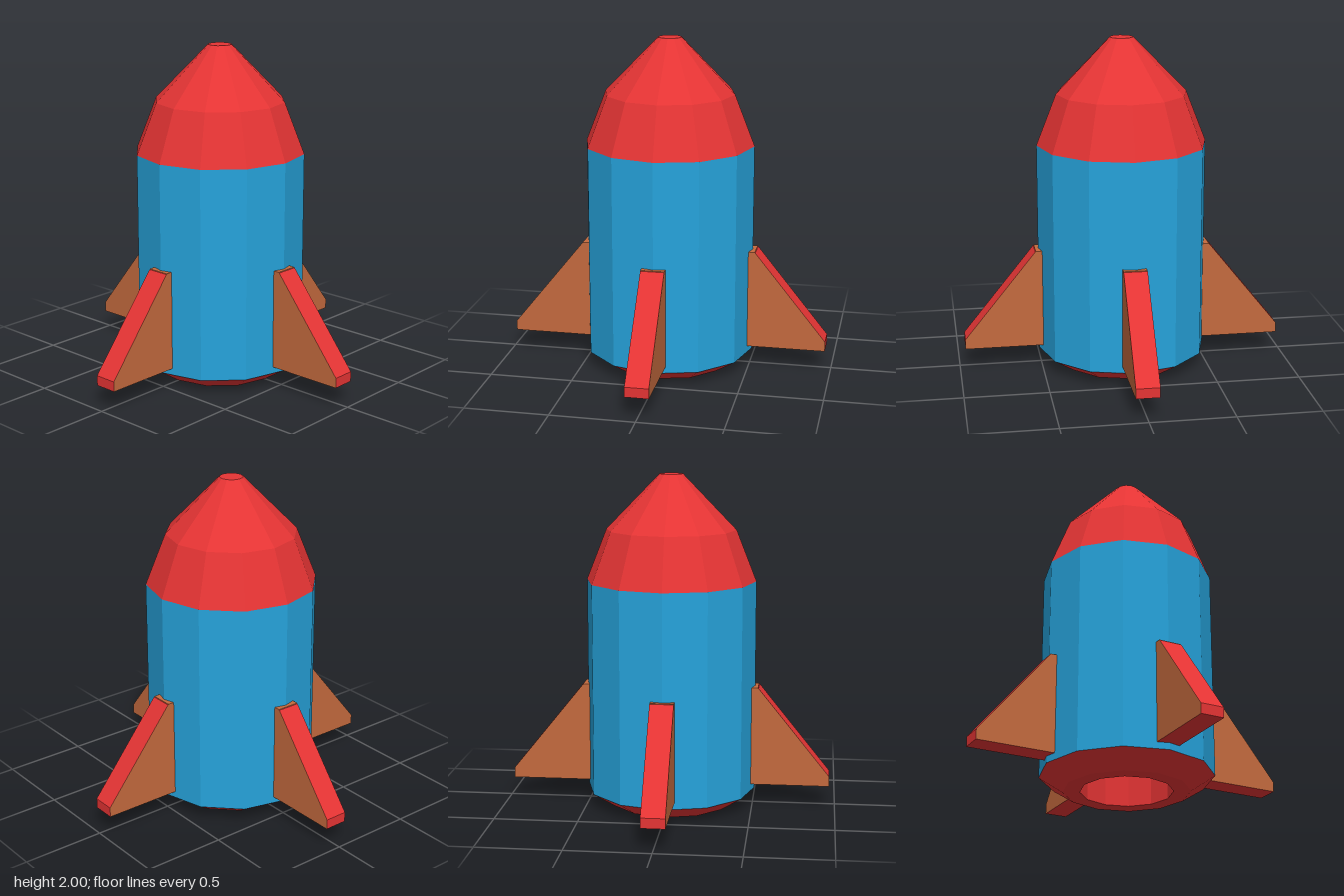
import * as THREE from 'three';

const red = new THREE.MeshStandardMaterial({ color: 0xe53434 });
red.name = 'red';
const blue = new THREE.MeshStandardMaterial({ color: 0x26a3db });
blue.name = 'blue';
const brown = new THREE.MeshStandardMaterial({ color: 0xc46a3e });
brown.name = 'brown';

// Twelve-sided faceted solid of revolution from [radius, height] pairs
function turned(name, profile, material) {
  const points = profile.map(([r, y]) => new THREE.Vector2(r, y));
  const geometry = new THREE.LatheGeometry(points, 12).toNonIndexed();
  geometry.computeVertexNormals();
  const mesh = new THREE.Mesh(geometry, material);
  mesh.name = name;
  return mesh;
}

// Fin with brown flanks and red edges, pointing along +x
function makeFin(name) {
  const fin = new THREE.Group();
  fin.name = name;
  const outline = [[0.48, 0.13], [0.965, 0.13], [0.965, 0.19], [0.533, 0.726], [0.48, 0.726]];
  const shape = new THREE.Shape(outline.map(([x, y]) => new THREE.Vector2(x, y)));
  const geometry = new THREE.ExtrudeGeometry(shape, { depth: 0.14, bevelEnabled: false });
  geometry.translate(0, 0, -0.07);
  const blade = new THREE.Mesh(geometry, [brown, red]);
  blade.name = 'finBlade';
  // Small flat top of the fin
  const top = new THREE.Mesh(new THREE.BoxGeometry(0.05, 0.004, 0.14), brown);
  top.name = 'finTop';
  top.position.set(0.505, 0.728, 0);
  fin.add(blade, top);
  return fin;
}

export function createModel() {
  const rocket = new THREE.Group();
  rocket.name = 'rocket';

  // Hull
  rocket.add(turned('hull', [[0.51, 0.09], [0.51, 1.365]], blue));
  // Nose cone with a flat tip
  rocket.add(turned('noseCone', [[0.51, 1.365], [0.39, 1.67], [0.07, 2], [0, 2]], red));
  // Tapered base with a recessed nozzle
  rocket.add(turned('base', [[0, 0.25], [0.27, 0.25], [0.27, 0], [0.37, 0], [0.51, 0.09]], red));

  // Four fins around the hull
  ['leftFin', 'backFin', 'rightFin', 'frontFin'].forEach((name, i) => {
    const fin = makeFin(name);
    fin.rotation.y = i * Math.PI / 2;
    rocket.add(fin);
  });
  return rocket;
}
